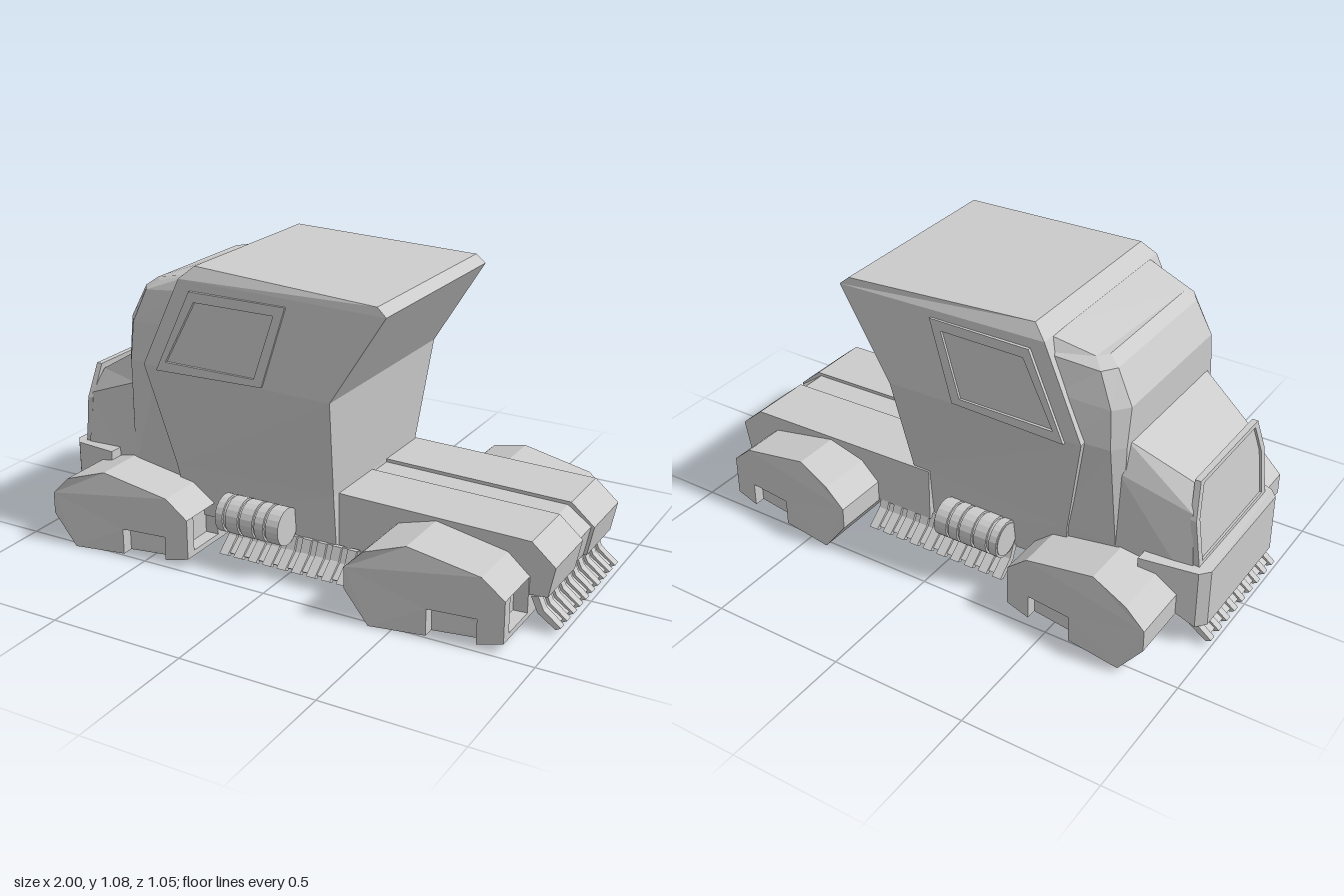
import * as THREE from 'three';

const material = new THREE.MeshStandardMaterial({ color: 0xcccccc, flatShading: true });

function add(parent, name, geometry) {
  const mesh = new THREE.Mesh(geometry, material);
  mesh.name = name;
  parent.add(mesh);
  return mesh;
}

const shapeOf = (pts) => new THREE.Shape(pts.map(([a, b]) => new THREE.Vector2(a, b)));

// Side profile (x, y) extruded between two z values
function prism(pts, za, zb, hole) {
  const shape = shapeOf(pts);
  if (hole) shape.holes.push(shapeOf(hole));
  const g = new THREE.ExtrudeGeometry(shape, { depth: Math.abs(zb - za), bevelEnabled: false });
  return g.translate(0, 0, Math.min(za, zb));
}

// Move every vertex by a rule
function warp(g, rule) {
  const p = g.attributes.position, v = new THREE.Vector3();
  for (let i = 0; i < p.count; i++) {
    rule(v.fromBufferAttribute(p, i));
    p.setXYZ(i, v.x, v.y, v.z);
  }
  g.computeVertexNormals();
  return g;
}

// Skin half sections, mirrored across z, with capped ends
function loft(sections) {
  const rings = sections.map((half) => [...half, ...half.slice().reverse().map(([x, y, z]) => [x, y, -z])]);
  const n = rings[0].length, index = [];
  for (let i = 0; i < rings.length - 1; i++) {
    for (let j = 0; j < n; j++) {
      const a = i * n + j, b = i * n + (j + 1) % n;
      index.push(a, b, b + n, a, b + n, a + n);
    }
  }
  const last = (rings.length - 1) * n;
  for (let j = 1; j < n - 1; j++) index.push(0, j + 1, j, last, last + j, last + j + 1);
  const g = new THREE.BufferGeometry();
  g.setAttribute('position', new THREE.Float32BufferAttribute(rings.flat(2), 3));
  g.setIndex(index);
  g.computeVertexNormals();
  return g;
}

// Curved skirt with a row of thicker ribs, bending out towards local +x
function ribbedSkirt(name, length, count, ribWidth) {
  const group = new THREE.Group();
  group.name = name;
  const profile = (t) => [[0, 0.11], [0.025, 0.055], [0.09, 0.02 - t], [0.108, 0.02], [0.045, 0.06 + t], [0.025, 0.115]];
  add(group, 'skirtBacking', prism([[0.005, 0.11], [0.028, 0.056], [0.085, 0.018], [0.092, 0.024], [0.037, 0.062], [0.016, 0.112]], -length / 2, length / 2));
  for (let i = 0; i < count; i++) {
    const z = -length / 2 + ribWidth / 2 + (i * (length - ribWidth)) / (count - 1);
    add(group, 'skirtRib', prism(profile(0.01), z - ribWidth / 2, z + ribWidth / 2));
  }
  return group;
}

// Faceted wheel housing across the full width, with corner recesses
function wheelHousing(name, x0) {
  const group = new THREE.Group();
  group.name = name;
  const top = [[0, 0.2], [0, 0.12], [0.09, 0.005]];
  const crown = [[0.55, 0.19], [0.47, 0.26], [0.21, 0.31], [0.07, 0.27]];
  const full = [...top, [0.46, 0.02], [0.55, 0.04], ...crown];
  const recessed = [...top, [0.46, 0.02], [0.55, 0.04], [0.55, 0.06], [0.5, 0.06], [0.5, 0.19], ...crown];
  const notched = [...top, [0.29, 0.013], [0.29, 0.11], [0.46, 0.11], [0.46, 0.02], [0.55, 0.04], ...crown];
  const taper = (v) => {
    if (Math.abs(v.z) > 0.5 && v.y > 0.29) v.z *= 0.965;
    v.z *= 1 - 0.17 * Math.max(0, v.x - 0.08) / 0.8;
    v.x += x0;
  };
  add(group, 'housingCore', warp(prism(full, -0.31, 0.31), taper));
  for (const s of [-1, 1]) {
    add(group, 'housingRecess', warp(prism(recessed, s * 0.31, s * 0.48), taper));
    add(group, 'housingCheek', warp(prism(notched, s * 0.48, s * 0.525), taper));
  }
  return group;
}

export function createModel() {
  const model = new THREE.Group();
  model.name = 'truck';

  // Cabin behind the door seam
  add(model, 'cabin', loft([
    [[-0.45, 0.13, 0.29], [0.17, 0.13, 0.29]],
    [[-0.47, 0.32, 0.32], [0.17, 0.33, 0.31]],
    [[-0.55, 0.71, 0.385], [0.2, 0.7, 0.39]],
    [[-0.4, 1.035, 0.372], [0.4, 1.02, 0.38]],
    [[-0.35, 1.08, 0.345], [0.365, 1.05, 0.375]],
  ]));

  // Windscreen and front pillars
  add(model, 'windscreenBlock', loft([
    [[-0.67, 0.13, 0.27], [-0.65, 0.13, 0.28], [-0.43, 0.13, 0.28]],
    [[-0.67, 0.31, 0.3], [-0.65, 0.31, 0.31], [-0.43, 0.32, 0.31]],
    [[-0.67, 0.7, 0.3], [-0.635, 0.7, 0.345], [-0.5, 0.71, 0.372]],
    [[-0.67, 0.84, 0.28], [-0.625, 0.84, 0.335], [-0.44, 0.86, 0.366]],
    [[-0.61, 0.96, 0.27], [-0.575, 0.96, 0.32], [-0.38, 0.99, 0.358]],
    [[-0.57, 0.99, 0.25], [-0.54, 0.99, 0.29], [-0.36, 1.045, 0.33]],
  ]));

  // Side windows follow the lean of the cabin wall
  for (const s of [-1, 1]) {
    const frame = prism(
      [[-0.49, 0.7], [-0.06, 0.71], [0.03, 1.0], [-0.35, 1.0]], 0, s * 0.016,
      [[-0.45, 0.735], [-0.09, 0.735], [-0.015, 0.965], [-0.33, 0.965]]);
    add(model, 'sideWindowFrame', warp(frame, (v) => { v.z += s * (0.38 - 0.036 * (v.y - 0.71)); }));
  }

  // Hood with chamfered shoulders
  add(model, 'hood', loft([
    [[-0.65, 0.15, 0.31], [-0.65, 0.6, 0.31], [-0.65, 0.715, 0.275]],
    [[-0.92, 0.2, 0.265], [-0.895, 0.5, 0.255], [-0.87, 0.585, 0.205]],
  ]));

  // Leaning grille: frame and inset panel
  const grilleOutline = (k) => [[-0.255, 0.3], [0.255, 0.3], [0.26, 0.48], [0.215, 0.605], [-0.215, 0.605], [-0.26, 0.48]]
    .map(([z, y]) => [z * k, 0.45 + (y - 0.45) * k]);
  const lean = (v) => { v.x += -0.91 + (v.y - 0.3) * 0.12; };
  add(model, 'grilleFrame', warp(prism(grilleOutline(1), 0, 0.022, grilleOutline(0.9)).rotateY(-Math.PI / 2), lean));
  add(model, 'grillePanel', warp(prism(grilleOutline(0.92), 0, 0.014).rotateY(-Math.PI / 2), lean));

  // Wraparound front bumper
  const bumper = prism([[-0.975, -0.25], [-0.945, -0.285], [-0.75, -0.34], [-0.75, 0.34], [-0.945, 0.285], [-0.975, 0.25]], 0, 0.23);
  add(model, 'frontBumper', warp(bumper.rotateX(Math.PI / 2).translate(0, 0.31, 0), (v) => {
    if (v.x > -0.8) v.y += v.y > 0.2 ? 0.01 : 0.13;
    else if (v.y > 0.2) v.y -= 0.01;
  }));

  // Chassis and rear deck with a recessed centre strip
  add(model, 'chassis', new THREE.BoxGeometry(1.7, 0.12, 0.54).translate(0, 0.185, 0));
  const deck = (d) => [[0.1, 0.125], [0.88 - d, 0.125], [0.945 - d, 0.13], [0.967 - d, 0.24], [0.88 - d, 0.315 - d], [0.1, 0.33 - d]];
  add(model, 'rearDeckLeft', prism(deck(0), 0.03, 0.272));
  add(model, 'rearDeckCentre', prism(deck(0.012), -0.08, 0.03));
  add(model, 'rearDeckRight', prism(deck(0), -0.318, -0.08));

  model.add(wheelHousing('frontWheelHousing', -0.88));
  model.add(wheelHousing('rearWheelHousing', 0.33));

  // Ribbed skirts at both ends and along the sides
  const rear = ribbedSkirt('rearSkirt', 0.55, 10, 0.031);
  rear.position.set(0.888, 0.012, 0);
  const front = ribbedSkirt('frontSkirt', 0.51, 9, 0.026);
  front.position.set(-0.892, 0.012, -0.01);
  front.rotation.y = Math.PI;
  model.add(rear, front);
  for (const s of [-1, 1]) {
    const side = ribbedSkirt('sideSkirt', 0.57, 10, 0.035);
    side.position.set(0.035, 0.03, s * 0.285);
    side.rotation.y = -s * Math.PI / 2;
    model.add(side);
  }

  // Ribbed side tanks
  for (const s of [-1, 1]) {
    const tank = new THREE.Group();
    tank.name = 'sideTank';
    add(tank, 'tankBody', new THREE.CylinderGeometry(0.061, 0.061, 0.26, 20));
    for (const [y, w] of [[-0.112, 0.03], [-0.06, 0.05], [0, 0.05], [0.052, 0.036], [0.105, 0.05]]) {
      add(tank, 'tankBand', new THREE.CylinderGeometry(0.069, 0.069, w, 20).translate(0, -y, 0));
    }
    tank.rotation.z = Math.PI / 2;
    tank.position.set(-0.12, 0.197, s * 0.35);
    model.add(tank);
  }

  return model;
}
